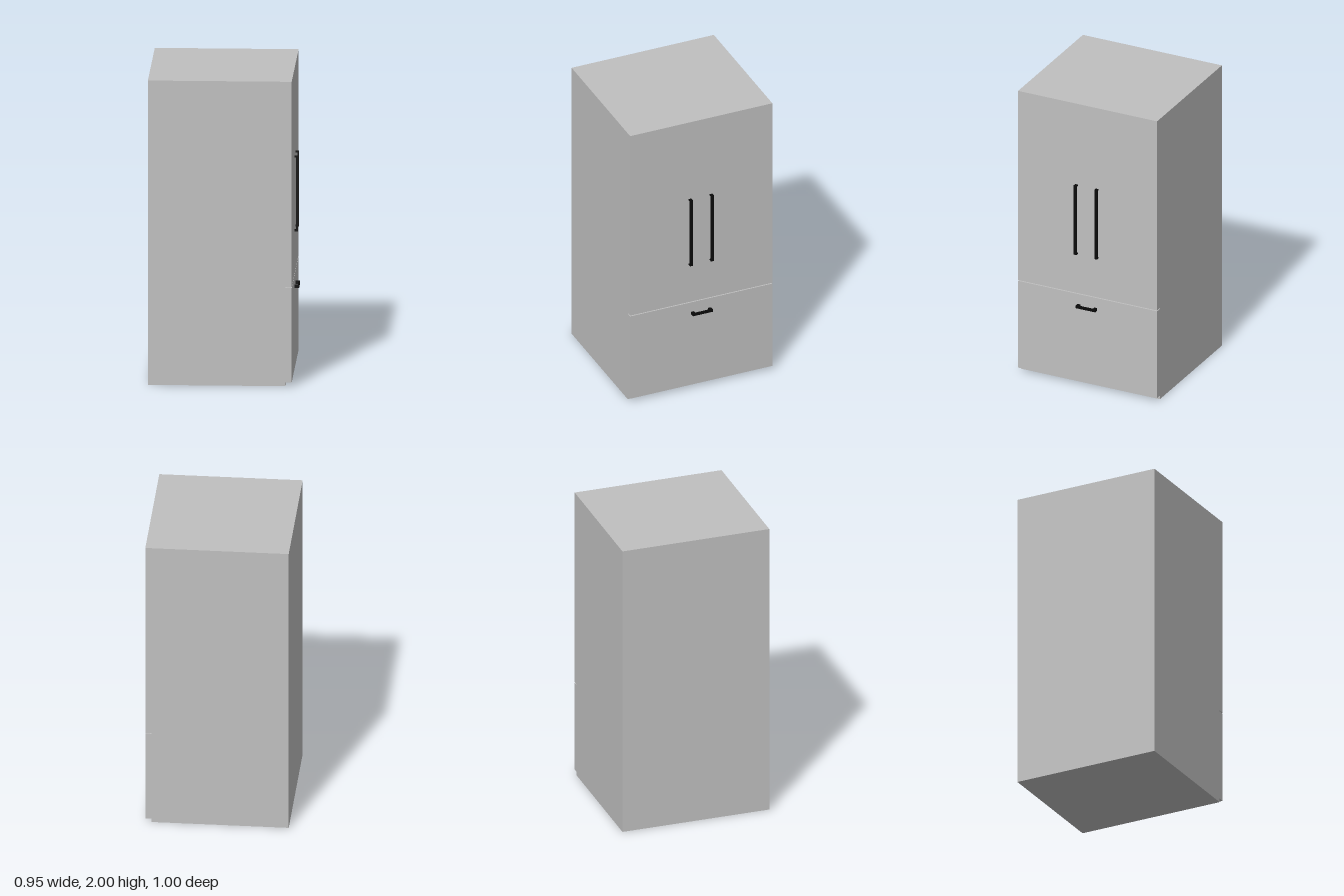
import * as THREE from 'three';

export function createModel() {
  const model = new THREE.Group();
  model.name = 'refrigerator';
  const steel = new THREE.MeshStandardMaterial({ color: 0xc0c0c0 });
  steel.name = 'light grey steel';
  const black = new THREE.MeshStandardMaterial({ color: 0x0a0a0a });
  black.name = 'black handle';

  // Box given by its minimum and maximum corners
  function addBox(parent, name, material, min, max) {
    const size = max.map((v, i) => v - min[i]);
    const mesh = new THREE.Mesh(new THREE.BoxGeometry(...size), material);
    mesh.position.set(...max.map((v, i) => (v + min[i]) / 2));
    mesh.name = name;
    parent.add(mesh);
  }

  // Cabinet, with the door and the drawer front on its +x side
  const back = -0.477, seam = 0.408, face = 0.448;
  addBox(model, 'cabinet', steel, [back, 0, -0.5], [seam, 2, 0.5]);
  addBox(model, 'upperDoor', steel, [seam, 0.65, -0.5], [face, 2, 0.5]);
  addBox(model, 'freezerDrawer', steel, [seam, 0.025, -0.5], [face, 0.644, 0.5]);

  // Pair of tall door handles, each a grip on two short posts
  for (const [name, z] of [['leftDoorHandle', 0.079], ['rightDoorHandle', -0.069]]) {
    const handle = new THREE.Group();
    handle.name = name;
    addBox(handle, 'grip', black, [0.459, 0.93, z - 0.01], [0.469, 1.425, z + 0.01]);
    for (const y of [0.93, 1.416]) {
      addBox(handle, 'post', black, [face, y, z - 0.01], [0.459, y + 0.009, z + 0.01]);
    }
    model.add(handle);
  }

  // Short horizontal drawer handle
  const drawerHandle = new THREE.Group();
  drawerHandle.name = 'drawerHandle';
  addBox(drawerHandle, 'grip', black, [0.467, 0.555, -0.069], [0.477, 0.573, 0.072]);
  for (const z of [-0.069, 0.051]) {
    addBox(drawerHandle, 'post', black, [face, 0.555, z], [0.467, 0.573, z + 0.021]);
  }
  model.add(drawerHandle);

  return model;
}
